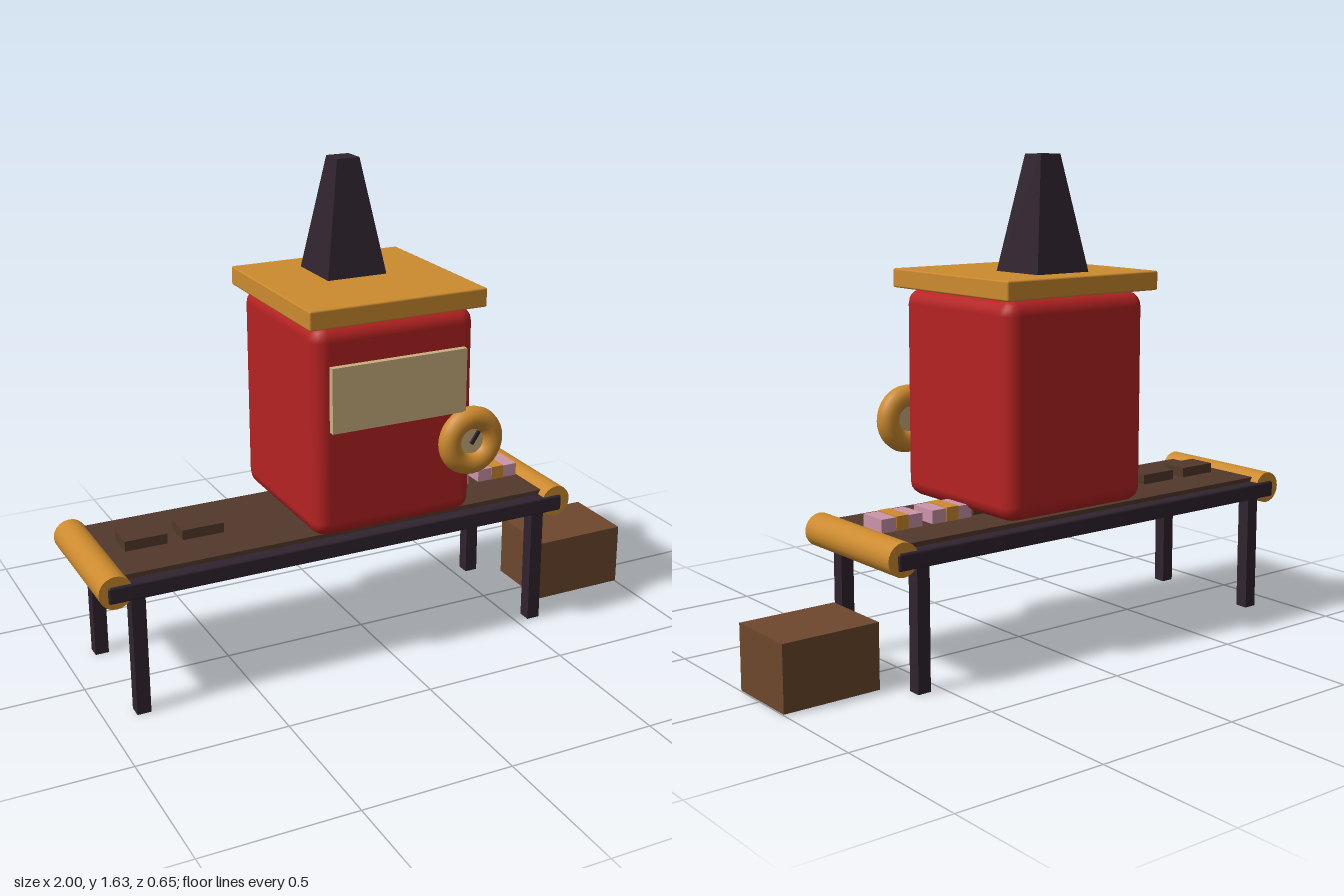
import * as THREE from 'three';
import { RoundedBoxGeometry } from 'three/addons/geometries/RoundedBoxGeometry.js';

const mat = (name, color) => {
  const m = new THREE.MeshStandardMaterial({ color });
  m.name = name;
  return m;
};

export function createModel() {
  const red = mat('red enamel', 0xb52222);
  const brass = mat('brass', 0xcc8a2e);
  const iron = mat('dark iron', 0x30242f);
  const belt = mat('belt brown', 0x52392b);
  const crate = mat('crate brown', 0x6d472c);
  const cream = mat('cream', 0xcbb080);
  const pink = mat('pink', 0xcc94a9);

  const model = new THREE.Group();
  model.name = 'wrappingMachine';
  const CX = -0.01, CZ = -0.0125; // machine centre line

  const add = (name, geometry, material, x, y, z, parent = model) => {
    const mesh = new THREE.Mesh(geometry, material);
    mesh.name = name;
    mesh.position.set(x, y, z);
    parent.add(mesh);
    return mesh;
  };
  // box given by its limits on each axis
  const box = (name, material, [x0, x1], [y0, y1], [z0, z1], parent) =>
    add(name, new THREE.BoxGeometry(x1 - x0, y1 - y0, z1 - z0), material,
      (x0 + x1) / 2, (y0 + y1) / 2, (z0 + z1) / 2, parent);

  // conveyor: frame, belt, end rollers and legs
  const conveyor = new THREE.Group();
  conveyor.name = 'conveyor';
  model.add(conveyor);
  add('conveyorFrame', new RoundedBoxGeometry(1.63, 0.057, 0.495, 1, 0.008), iron,
    -0.155, 0.4285, CZ, conveyor);
  box('conveyorBelt', belt, [-0.94, 0.635], [0.44, 0.472], [-0.218, 0.193], conveyor);
  for (const x of [-0.945, 0.64]) {
    const roller = add('endRoller', new THREE.CylinderGeometry(0.055, 0.055, 0.48, 20),
      brass, x, 0.435, CZ, conveyor);
    roller.rotation.x = Math.PI / 2;
  }
  for (const x of [-0.875, 0.568])
    for (const side of [-1, 1])
      add('leg', new THREE.BoxGeometry(0.046, 0.41, 0.046), iron, x, 0.205, CZ + side * 0.216, conveyor);

  // chute passing through the belt under the body
  box('chute', belt, [-0.25, 0.23], [0.387, 0.51], [-0.052, 0.028]);

  // body, lid and tapered chimney
  add('body', new RoundedBoxGeometry(0.57, 0.7, 0.575, 2, 0.05), red, CX, 0.841, CZ);
  add('lid', new RoundedBoxGeometry(0.62, 0.063, 0.62, 1, 0.006), brass, CX, 1.225, -0.015);
  const taper = new THREE.CylinderGeometry(0.04 * Math.SQRT2, 0.106 * Math.SQRT2, 0.38, 4, 1)
    .toNonIndexed();
  taper.rotateY(Math.PI / 4);
  taper.computeVertexNormals();
  add('chimney', taper, iron, CX, 1.443, -0.11);

  // front panel
  box('frontPanel', cream, [-0.246, 0.23], [0.853, 1.067], [0.265, 0.297]);

  // dial: ring, face and needle
  const dial = new THREE.Group();
  dial.name = 'dial';
  dial.position.set(0.255, 0.747, 0.286);
  model.add(dial);
  add('dialRing', new THREE.TorusGeometry(0.078, 0.038, 14, 32), brass, 0, 0, 0, dial);
  const face = add('dialFace', new THREE.CylinderGeometry(0.075, 0.075, 0.02, 28), cream, 0, 0, 0, dial);
  face.rotation.x = Math.PI / 2;
  const needle = add('dialNeedle', new THREE.BoxGeometry(0.012, 0.05, 0.008), iron, 0.01, 0.012, 0.014, dial);
  needle.rotation.z = -0.6;

  // unwrapped bars entering on the belt
  for (const x of [-0.778, -0.585])
    add('plainBar', new THREE.BoxGeometry(0.142, 0.036, 0.098), belt, x, 0.488, -0.016);

  // wrapped bars leaving, each with a band
  for (const x of [0.326, 0.519]) {
    add('wrappedBar', new THREE.BoxGeometry(0.154, 0.047, 0.104), pink, x, 0.4925, -0.016);
    add('wrapperBand', new THREE.BoxGeometry(0.046, 0.05, 0.108), brass, x, 0.4935, -0.016);
  }

  // collecting crate
  box('crate', crate, [0.662, 1], [0.003, 0.22], [-0.145, 0.115]);

  return model;
}
